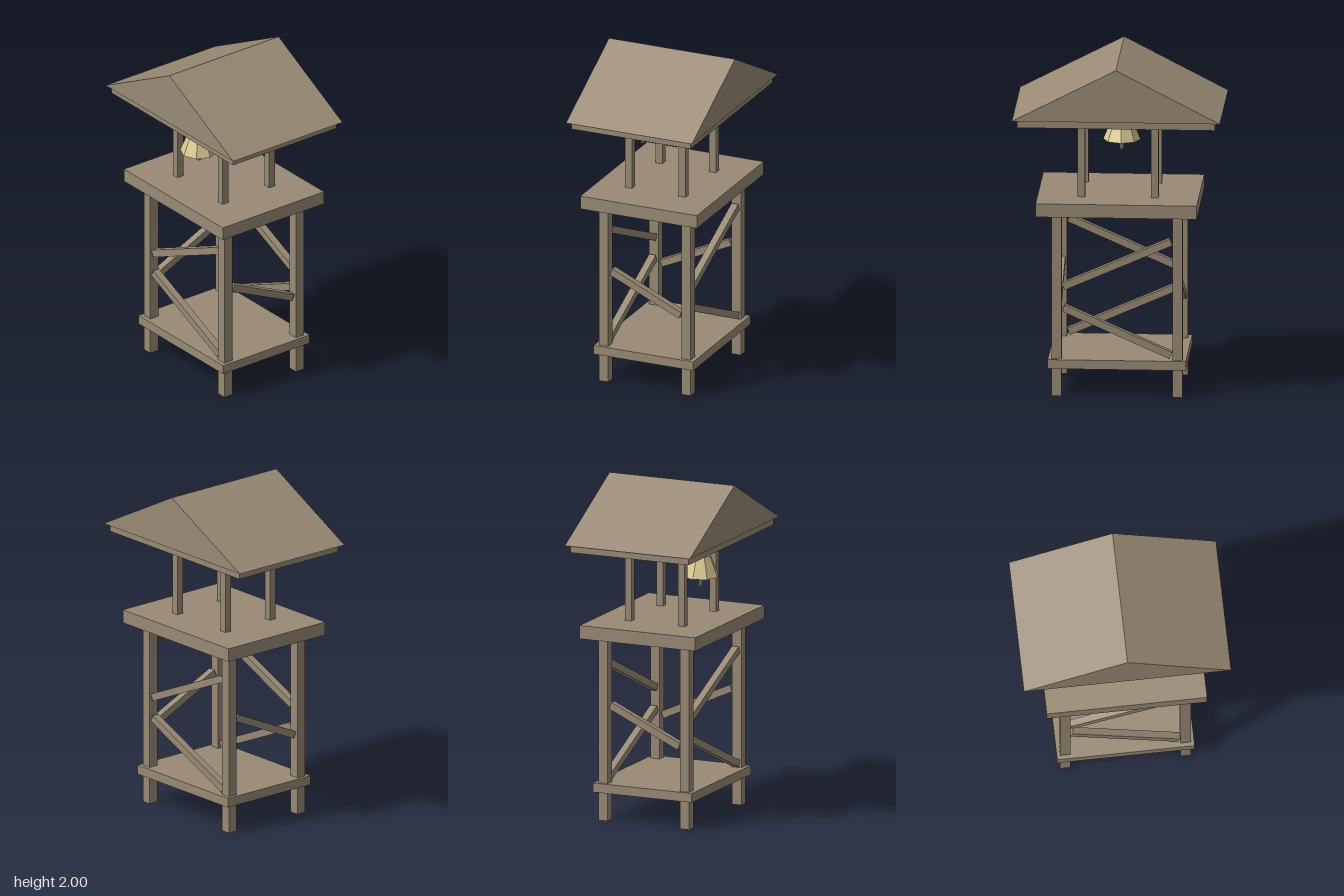
import * as THREE from 'three';

export function createModel() {
  const model = new THREE.Group();
  model.name = 'bellTower';

  const wood = new THREE.MeshStandardMaterial({ color: 0x998a75, flatShading: true });
  wood.name = 'weatheredWood';
  const brass = new THREE.MeshStandardMaterial({ color: 0xd9c88f, flatShading: true });
  brass.name = 'paleBrass';

  const add = (name, geometry, material, x, y, z) => {
    const mesh = new THREE.Mesh(geometry, material);
    mesh.name = name;
    mesh.position.set(x, y, z);
    model.add(mesh);
    return mesh;
  };
  // Wooden box given by its size, bottom height and centre
  const board = (name, w, h, d, bottom, x = 0, z = 0) =>
    add(name, new THREE.BoxGeometry(w, h, d), wood, x, bottom + h / 2, z);

  // Decks and ceiling
  board('lowerDeck', 0.81, 0.055, 0.64, 0.17);
  board('upperDeck', 0.945, 0.08, 0.75, 1.1);
  board('ceiling', 1.16, 0.045, 0.765, 1.64);

  // Four legs and four belfry posts
  for (const sx of [-1, 1]) {
    for (const sz of [-1, 1]) {
      board('leg', 0.06, 1.1, 0.06, 0, sx * 0.355, sz * 0.265);
      board('belfryPost', 0.043, 0.46, 0.043, 1.18, sx * 0.215, sz * 0.172);
    }
  }

  // Diagonal braces: two on the front and back, one on each side
  const t = 0.043;
  for (const s of [-1, 1]) {
    const face = s > 0 ? 'front' : 'back';
    add(face + 'UpperBrace', new THREE.BoxGeometry(0.69, t, t), wood, 0, 0.797, s * 0.265)
      .rotation.z = s * 0.415;
    add(face + 'LowerBrace', new THREE.BoxGeometry(0.69, t, t), wood, 0, 0.39, s * 0.265)
      .rotation.z = -s * 0.415;
    add(s > 0 ? 'leftBrace' : 'rightBrace', new THREE.BoxGeometry(t, t, 0.49), wood, s * 0.355, 0.592, 0)
      .rotation.x = -s * 0.43;
  }

  // Gable roof
  const gable = new THREE.Shape([
    new THREE.Vector2(-0.61, 0),
    new THREE.Vector2(0.61, 0),
    new THREE.Vector2(0, 0.315),
  ]);
  const roof = new THREE.ExtrudeGeometry(gable, { depth: 0.81, bevelEnabled: false });
  add('roof', roof, wood, 0, 1.685, -0.405);

  // Bell beam, bell and clapper
  board('bellBeam', 0.525, 0.05, 0.04, 1.59, 0, 0.185);
  add('bell', new THREE.CylinderGeometry(0.06, 0.11, 0.123, 8), brass, 0, 1.497, 0.187);
  add('clapper', new THREE.CylinderGeometry(0.013, 0.013, 0.11, 6), wood, 0, 1.433, 0.187);

  return model;
}
